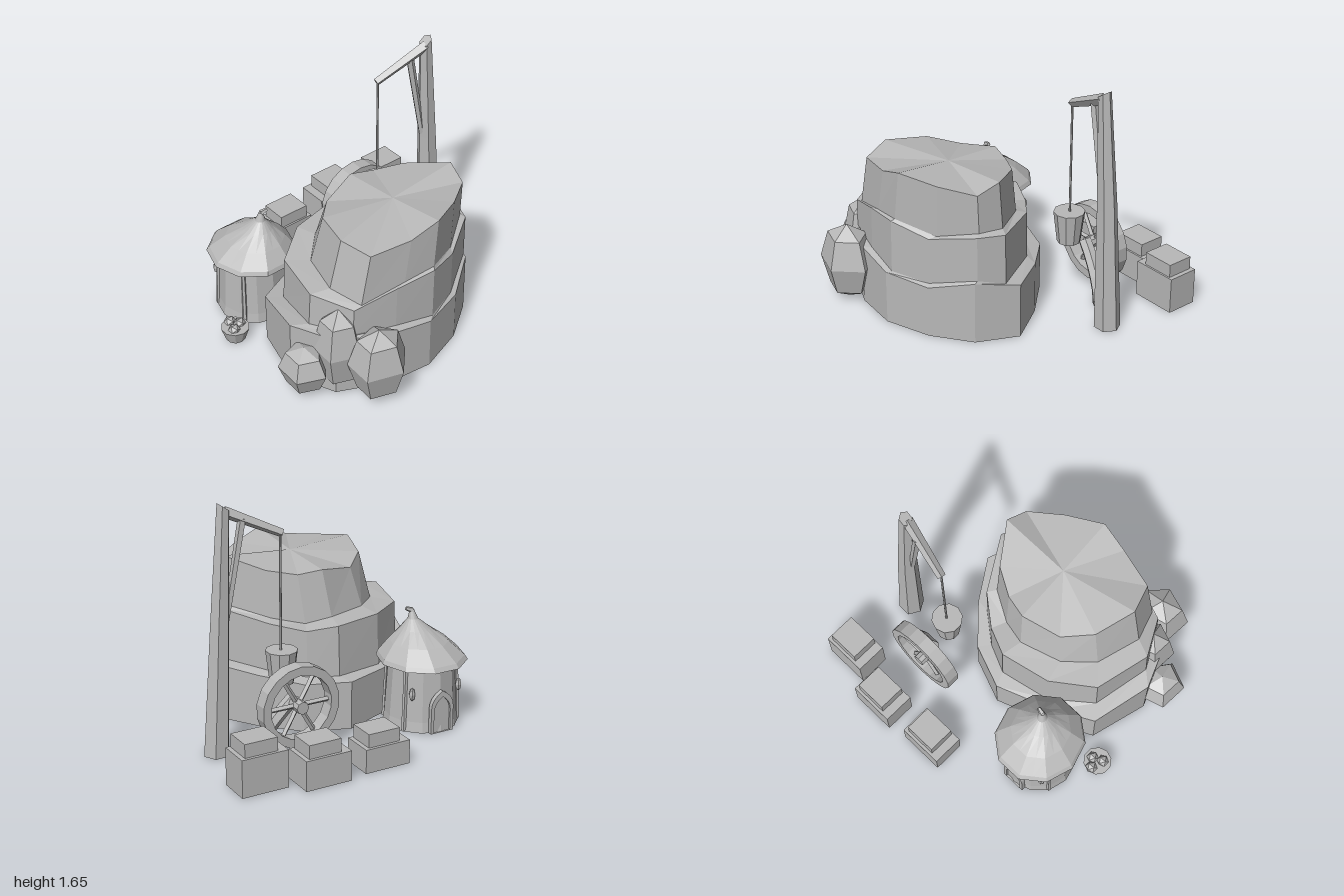
import * as THREE from 'three';

const stone = new THREE.MeshStandardMaterial({ color: 0xb8b8b8, side: THREE.DoubleSide });
stone.name = 'plain grey';
const V = (x, y, z) => new THREE.Vector3(x, y, z);

// Faceted mesh: unshared corners give one normal per face
function part(name, geometry, parent) {
  const g = geometry.index ? geometry.toNonIndexed() : geometry;
  g.computeVertexNormals();
  const mesh = new THREE.Mesh(g, stone);
  mesh.name = name;
  parent.add(mesh);
  return mesh;
}

// Skin over rings of equal count, listed from bottom to top
function loft(rings, { topPoint, openBottom = false } = {}) {
  const n = rings[0].length, out = [];
  const tri = (...pts) => pts.forEach(p => out.push(p.x, p.y, p.z));
  const mid = r => r.reduce((s, p) => s.add(p), V(0, 0, 0)).divideScalar(n);
  const first = rings[0], last = rings[rings.length - 1];
  const low = mid(first), high = topPoint || mid(last);
  for (let k = 0; k < n; k++) {
    const j = (k + 1) % n;
    for (let i = 0; i + 1 < rings.length; i++) {
      tri(rings[i][k], rings[i][j], rings[i + 1][j]);
      tri(rings[i][k], rings[i + 1][j], rings[i + 1][k]);
    }
    if (!openBottom) tri(first[j], first[k], low);
    tri(last[k], last[j], high);
  }
  const g = new THREE.BufferGeometry();
  g.setAttribute('position', new THREE.Float32BufferAttribute(out, 3));
  return g;
}

function circle(x, y, z, r, n, turn = 0, radius = () => r) {
  return Array.from({ length: n }, (_, k) => {
    const a = turn + k / n * Math.PI * 2;
    return V(x + Math.sin(a) * radius(k), y, z + Math.cos(a) * radius(k));
  });
}

// Straight beam between two points
function beam(name, a, b, ra, rb, sides, parent) {
  const d = b.clone().sub(a);
  const mesh = part(name, new THREE.CylinderGeometry(rb, ra, d.length(), sides), parent);
  mesh.position.copy(a).addScaledVector(d, 0.5);
  mesh.quaternion.setFromUnitVectors(V(0, 1, 0), d.normalize());
}

// Box without an underside
function box(name, x0, x1, y0, y1, z0, z1, parent) {
  const g = new THREE.BoxGeometry(x1 - x0, y1 - y0, z1 - z0);
  g.setIndex([...g.index.array].filter((_, i) => i < 18 || i > 23));
  part(name, g, parent).position.set((x0 + x1) / 2, (y0 + y1) / 2, (z0 + z1) / 2);
}

// Three-tiered rock with uneven ledges, hollow from below
function addRock(root) {
  const ring = list => list.map(([x, z, y]) => V(x, y, z));
  const t1 = ring([[-.09, .825, .37], [.22, .72, .355], [.47, .54, .43], [.595, .27, .38],
    [.42, 0, .36], [.2, -.23, .33], [-.09, -.34, .33], [-.48, -.19, .32],
    [-.74, -.06, .35], [-.845, .34, .43], [-.72, .64, .44], [-.4, .79, .41]]);
  const t2 = ring([[-.05, .8, .75], [.2, .695, .69], [.47, .52, .75], [.54, .35, .745],
    [.33, 0, .7], [.14, -.15, .66], [-.05, -.235, .69], [-.39, -.16, .69],
    [-.65, .04, .67], [-.74, .42, .68], [-.6, .68, .64], [-.32, .76, .72]]);
  const t3 = ring([[0, .77, 1.1], [.24, .65, 1.06], [.45, .5, 1.03], [.48, .35, 1.09],
    [.3, .1, 1.03], [.12, 0, 1], [-.04, -.04, 1.02], [-.3, .04, .97],
    [-.46, .2, 1.01], [-.54, .48, 1.04], [-.47, .68, 1], [-.2, .745, 1.03]]);
  // Foot of an upper tier: its top ring spread to the back and left, just above the ledge
  const foot = (upper, ledge, s) => upper.map((p, k) => V(
    .45 + (p.x - .45) * s, ledge[k].y + .015, .65 + (p.z - .65) * s));
  const base = t1.map(p => V(p.x, 0, p.z));
  part('tieredRock', loft([base, t1, foot(t2, t1, 1.01), t2, foot(t3, t2, 1.08), t3],
    { topPoint: V(-.02, 1.05, .36), openBottom: true }), root);

  // Five-sided boulders leaning on its side: centre, half-sizes
  [[-.52, .27, .825, .21, .27, .18], [-.85, .18, .485, .16, .17, .175],
    [-.65, .31, .585, .165, .31, .165]].forEach(([x, y, z, a, b, c]) => {
    const g = new THREE.SphereGeometry(1, 5, 4).rotateY(.58).scale(a, b, c);
    part('boulder', g, root).position.set(x, y, z);
  });
}

// Round hut with a scalloped, concave roof and a hooked tip
function addHut(root) {
  const hut = new THREE.Group();
  hut.name = 'hut';
  root.add(hut);
  hut.position.set(-.575, 0, -.42);
  part('hutWall', loft([circle(0, 0, 0, .25, 12), circle(0, .07, 0, .24, 12),
    circle(0, .5, 0, .215, 12)]), hut);
  const n = 20, jag = r => k => r * (k % 2 ? 1 : .95);
  part('hutRoof', loft([
    circle(0, .44, 0, .3, n, 0, jag(.308)),
    circle(.003, .47, .005, .29, n, 0, jag(.293)),
    circle(.015, .56, .02, .2, n, 0, jag(.203)),
    circle(.03, .64, .04, .1, n),
    circle(.04, .7, .055, .035, n),
    circle(.045, .76, .06, .014, n)]).scale(.96, 1, 1.02), hut);
  beam('roofTip', V(.043, .755, .061), V(.085, .77, .07), .02, .012, 5, hut);

  // Arched door with a raised surround
  const arch = (w, h) => {
    const s = new THREE.Shape();
    s.moveTo(-w, 0);
    s.lineTo(w, 0);
    s.lineTo(w, h * .6);
    s.quadraticCurveTo(w, h * .85, 0, h);
    s.quadraticCurveTo(-w, h * .85, -w, h * .6);
    return s;
  };
  const frame = arch(.085, .29);
  frame.holes.push(arch(.062, .25));
  [['doorFrame', frame, .03], ['door', arch(.062, .25), .015]].forEach(([name, shape, depth]) => {
    const g = new THREE.ExtrudeGeometry(shape, { depth, bevelEnabled: false, curveSegments: 4 });
    const m = part(name, g, hut);
    m.rotation.y = Math.PI;
    m.position.z = -.228;
  });
  // Wall posts and small lanterns beside the door
  for (const a of [-2.1, -.9, .9, 2.1]) {
    const at = (r, y) => V(Math.sin(a) * r, y, Math.cos(a) * r);
    beam('wallPost', at(.243, .01), at(.225, .45), .016, .014, 5, hut);
  }
  for (const s of [-1, 1]) {
    part('lantern', new THREE.SphereGeometry(1, 6, 4).scale(.022, .045, .022), hut)
      .position.set(s * .18, .27, -.17);
  }
}

// Leaning post crane with brace, rope and bucket
function addCrane(root) {
  const crane = new THREE.Group();
  crane.name = 'crane';
  root.add(crane);
  // The post's top is cut on a slope, rising away from the arm
  const top = circle(.768, 0, -.24, .042, 6, Math.PI / 6)
    .map(p => V(p.x, 1.59 + (p.x - .735) * .72, p.z));
  part('cranePost', loft([circle(.85, 0, -.25, .088, 6, Math.PI / 6),
    circle(.812, .85, -.25, .066, 6, Math.PI / 6), top]), crane);
  beam('craneArm', V(.765, 1.582, -.232), V(.4, 1.41, -.305), .038, .028, 4, crane);
  beam('craneBrace', V(.65, 1.53, -.262), V(.765, .88, -.25), .028, .022, 5, crane);
  beam('rope', V(.41, .5, -.3), V(.41, 1.41, -.3), .008, .008, 6, crane);
  beam('bucket', V(.405, .42, -.3), V(.405, .64, -.3), .078, .105, 10, crane);
}

// Spoked wheel on a slanted leg
function addWheel(root) {
  const wheel = new THREE.Group();
  wheel.name = 'spokedWheel';
  wheel.position.set(.41, .345, -.522);
  root.add(wheel);
  const rim = [[.215, -.047], [.272, -.047], [.272, .047], [.215, .047], [.215, -.047]];
  part('wheelRim', new THREE.LatheGeometry(rim.map(p => new THREE.Vector2(...p)), 18), wheel)
    .rotation.x = Math.PI / 2;
  beam('wheelHub', V(0, 0, -.063), V(0, 0, .067), .042, .042, 8, wheel);
  for (let i = 0; i < 6; i++) {
    const a = i / 6 * Math.PI * 2;
    beam('spoke', V(0, 0, 0), V(Math.cos(a) * .225, Math.sin(a) * .225, 0), .017, .017, 4, wheel);
  }
  const path = new THREE.CatmullRomCurve3([V(.4, .37, -.45), V(.49, .27, -.43), V(.59, .12, -.4), V(.62, .01, -.39)]);
  part('wheelLeg', new THREE.TubeGeometry(path, 5, .045, 6), root);
  beam('legFoot', V(.62, 0, -.39), V(.62, .03, -.39), .045, .045, 6, root);
}

export function createModel() {
  const root = new THREE.Group();
  root.name = 'rockCamp';
  addRock(root);
  addHut(root);
  addCrane(root);
  addWheel(root);

  // Stacked crates: left edge, back edge, height of the lower box
  [[-.137, -.967, .16], [.303, -1, .2], [.68, -.89, .25]].forEach(([x, z, h]) => {
    box('crate', x, x + .317, 0, h, z, z + .218, root);
    box('crateTop', x + .063, x + .287, h, h + .09, z + .02, z + .205, root);
  });

  // Small tub of round fruit
  beam('tub', V(-.9, 0, -.19), V(-.9, .095, -.19), .065, .096, 10, root);
  [[-.9, -.25], [-.925, -.165], [-.86, -.195]].forEach(([x, z]) =>
    part('fruit', new THREE.IcosahedronGeometry(.042, 0), root).position.set(x, .095, z));
  return root;
}
